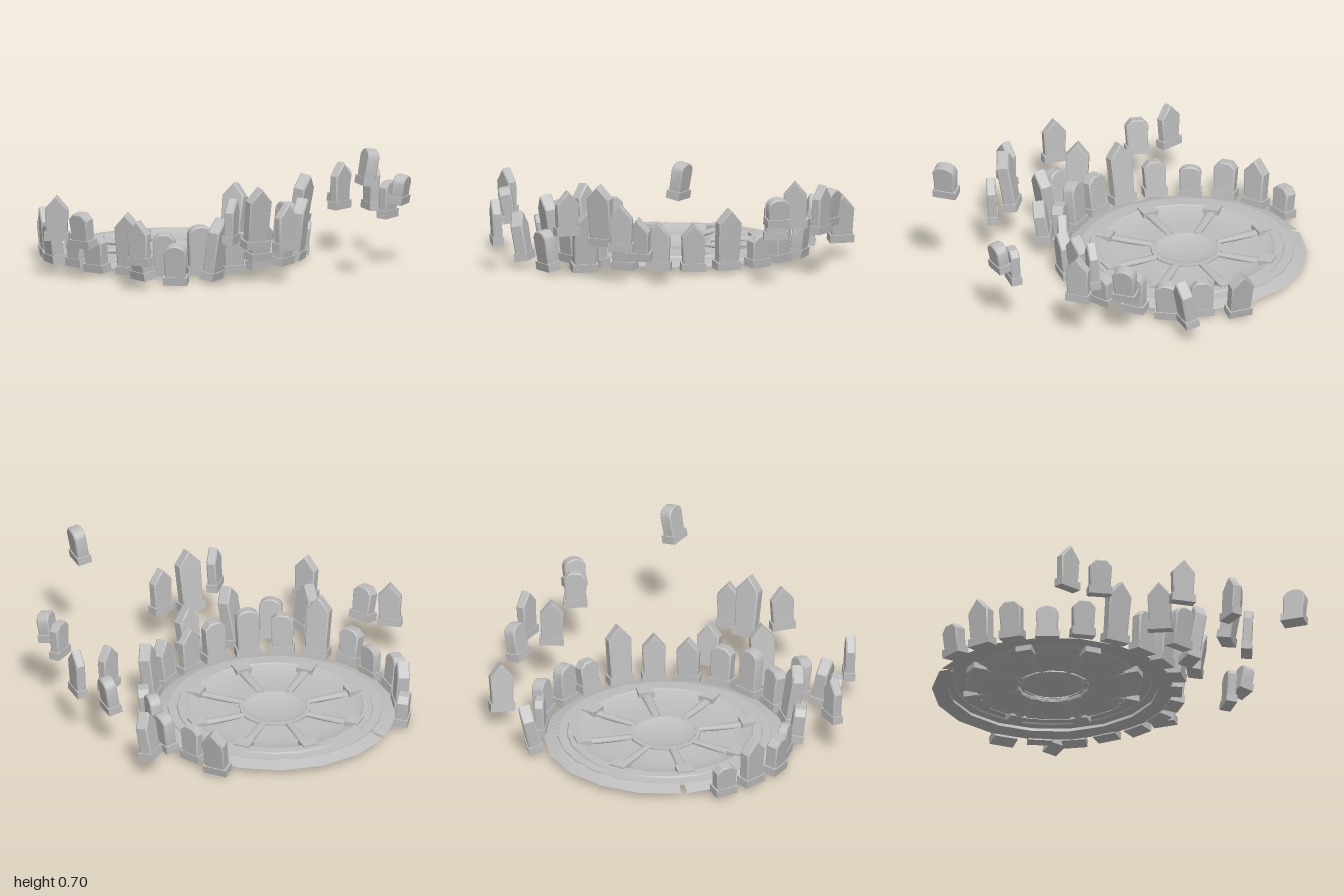
import * as THREE from 'three';
import { toCreasedNormals } from 'three/addons/utils/BufferGeometryUtils.js';

const stone = new THREE.MeshStandardMaterial({ color: 0xbdbdbd, side: THREE.DoubleSide });
stone.name = 'grey stone';

const CX = -0.335, CZ = -0.07; // centre of the round platform
const rad = THREE.MathUtils.degToRad;

function add(parent, geometry, name) {
  const m = new THREE.Mesh(geometry, stone);
  m.name = name;
  parent.add(m);
  return m;
}

function lathe(parent, name, points, segments, start = 0, length = Math.PI * 2) {
  const pts = points.map(([r, y]) => new THREE.Vector2(r, y));
  add(parent, toCreasedNormals(new THREE.LatheGeometry(pts, segments, start, length), 0.35), name);
}

// Outline of a slab whose shoulders are slightly wider than its foot
function slabShape(kind, w, h) {
  const a = w * 0.42, b = w * 0.47, s = new THREE.Shape();
  s.moveTo(-a, 0);
  s.lineTo(a, 0);
  if (kind === 'point') {
    s.lineTo(b, h - w * 0.55);
    s.lineTo(0, h);
    s.lineTo(-b, h - w * 0.55);
  } else if (kind === 'round') {
    s.lineTo(b, h - w * 0.32);
    s.quadraticCurveTo(b * 0.85, h - w * 0.02, 0, h);
    s.quadraticCurveTo(-b * 0.85, h - w * 0.02, -b, h - w * 0.32);
  } else {
    s.lineTo(b, h - w * 0.25);
    s.lineTo(b * 0.5, h);
    s.lineTo(-b * 0.5, h);
    s.lineTo(-b, h - w * 0.25);
  }
  s.closePath();
  return s;
}

// Plinth and slab, facing a compass angle (0 = +x, 90 = +z) and leaning that way
function standingStone(parent, kind, x, z, bottom, top, facing, lean) {
  const g = new THREE.Group();
  g.name = 'standingStone';
  const h = top - bottom, plinthH = 0.042, bevel = 0.006;
  const w = 0.11 + h * 0.07;                // taller stones are a little wider
  const d = lean < 0.07 ? 0.058 : 0.075;    // upright stones are thinner
  add(g, new THREE.BoxGeometry(w, plinthH, d), 'plinth').position.y = (plinthH - h) / 2;
  const depth = d * 0.85 - bevel * 2;
  const slab = new THREE.ExtrudeGeometry(slabShape(kind, w - bevel * 2, h - plinthH - bevel), {
    depth, bevelThickness: bevel, bevelSize: bevel, bevelSegments: 1, curveSegments: 4,
  });
  slab.translate(0, plinthH - h / 2, -depth / 2);
  add(g, toCreasedNormals(slab, 0.6), 'slab');
  g.position.set(x, (bottom + top) / 2, z);
  g.rotation.set(lean, Math.PI / 2 - rad(facing), 0, 'YXZ');
  parent.add(g);
}

// Evenly spaced ring, from the back round to the left: outline, top, lean
const RING = [
  ['point', 0.28, 0.22], ['flat', 0.22, 0.05], ['round', 0.23, 0.14], ['round', 0.24, 0.07],
  ['flat', 0.19, 0.12], ['point', 0.34, 0.12], ['point', 0.27, 0.1], ['point', 0.27, 0.03],
  ['flat', 0.24, 0.1], ['round', 0.28, 0.08], ['flat', 0.24, 0.1], ['point', 0.345, 0.16],
  ['flat', 0.21, 0.16], ['round', 0.2, 0.03], ['flat', 0.22, 0.12], ['point', 0.28, 0.08],
  ['flat', 0.19, 0.1],
];

// Scattered and floating stones: outline, x, z, bottom, top, facing
const LEANING = [
  ['point', -0.06, -0.89, 0.09, 0.34, -6],
  ['round', 0.23, -0.79, 0.23, 0.42, -53],
  ['point', 0.355, 0.21, 0.09, 0.31, 22],
  ['point', 0.255, 0.475, 0.02, 0.34, -6],
  ['point', 0.47, 0.42, 0.19, 0.51, 30],
  ['round', 0.125, 0.66, 0.01, 0.22, 66],
  ['point', -0.02, 0.77, 0.04, 0.29, 114],
  ['flat', -0.35, 0.8, 0.18, 0.36, 98],
  ['round', 0.8, -0.45, 0.33, 0.48, -11],
  ['round', 0.92, 0.065, 0.51, 0.7, -53],
];
const UPRIGHT = [
  ['point', 0.46, -0.72, 0.23, 0.48, -53],
  ['point', 0.345, -0.6, 0.24, 0.48, 6],
  ['point', 0.585, 0.33, 0.18, 0.42, 17],
  ['point', 0.42, 0.59, 0.24, 0.47, -15],
  ['point', 0.06, 0.91, 0.14, 0.37, 90],
  ['point', -0.515, 0.78, 0.2, 0.43, 66],
  ['flat', 0.725, -0.45, 0.25, 0.44, 0],
];

export function createModel() {
  const model = new THREE.Group();
  model.name = 'stoneCircle';

  const platform = new THREE.Group();
  platform.name = 'platform';
  platform.position.set(CX, 0, CZ);
  model.add(platform);

  // Sloping outer skirt with a narrow break on the side
  lathe(platform, 'outerSkirt', [[0.54, 0.042], [0.622, 0.034], [0.545, 0.06], [0.54, 0.042]], 18, 4.82, Math.PI * 2 - 0.05);
  // Stepped rings
  lathe(platform, 'steppedRing', [[0.555, 0.045], [0.55, 0.062], [0.505, 0.064], [0.5, 0.072], [0.455, 0.074], [0.44, 0.062]], 24);
  // Dished floor, central lip and bowl
  lathe(platform, 'floor', [[0.455, 0.072], [0.41, 0.056], [0.35, 0.048], [0.26, 0.046], [0.18, 0.052]], 40);
  lathe(platform, 'bowlLip', [[0.185, 0.045], [0.183, 0.063], [0.165, 0.063], [0.16, 0.055]], 16);
  lathe(platform, 'bowl', [[0.165, 0.062], [0.13, 0.048], [0.08, 0.04], [0, 0.037]], 32);

  // Tapered spokes with end blocks
  for (let i = 0; i < 8; i++) {
    const arm = new THREE.Group();
    arm.name = 'spoke';
    arm.rotation.y = rad(9 + i * 45);
    platform.add(arm);
    const bar = add(arm, toCreasedNormals(new THREE.CylinderGeometry(0.021, 0.028, 0.25, 8), 0.9), 'spokeBar');
    bar.rotation.z = Math.PI / 2;
    bar.position.set(0.3, 0.056, 0);
    bar.scale.x = 0.55;
    const block = add(arm, new THREE.BoxGeometry(0.075, 0.04, 0.085), 'spokeBlock');
    block.position.set(0.435, 0.062, 0);
  }

  const stones = new THREE.Group();
  stones.name = 'standingStones';
  model.add(stones);
  RING.forEach(([kind, top, lean], i) => {
    const angle = -95 + i * 15.75, r = 0.625 + lean * 0.36;
    standingStone(stones, kind, CX + r * Math.cos(rad(angle)), CZ + r * Math.sin(rad(angle)), 0.025, top, angle, lean);
  });
  LEANING.forEach((s) => standingStone(stones, ...s, 0.17));
  UPRIGHT.forEach((s) => standingStone(stones, ...s, 0.05));
  return model;
}
